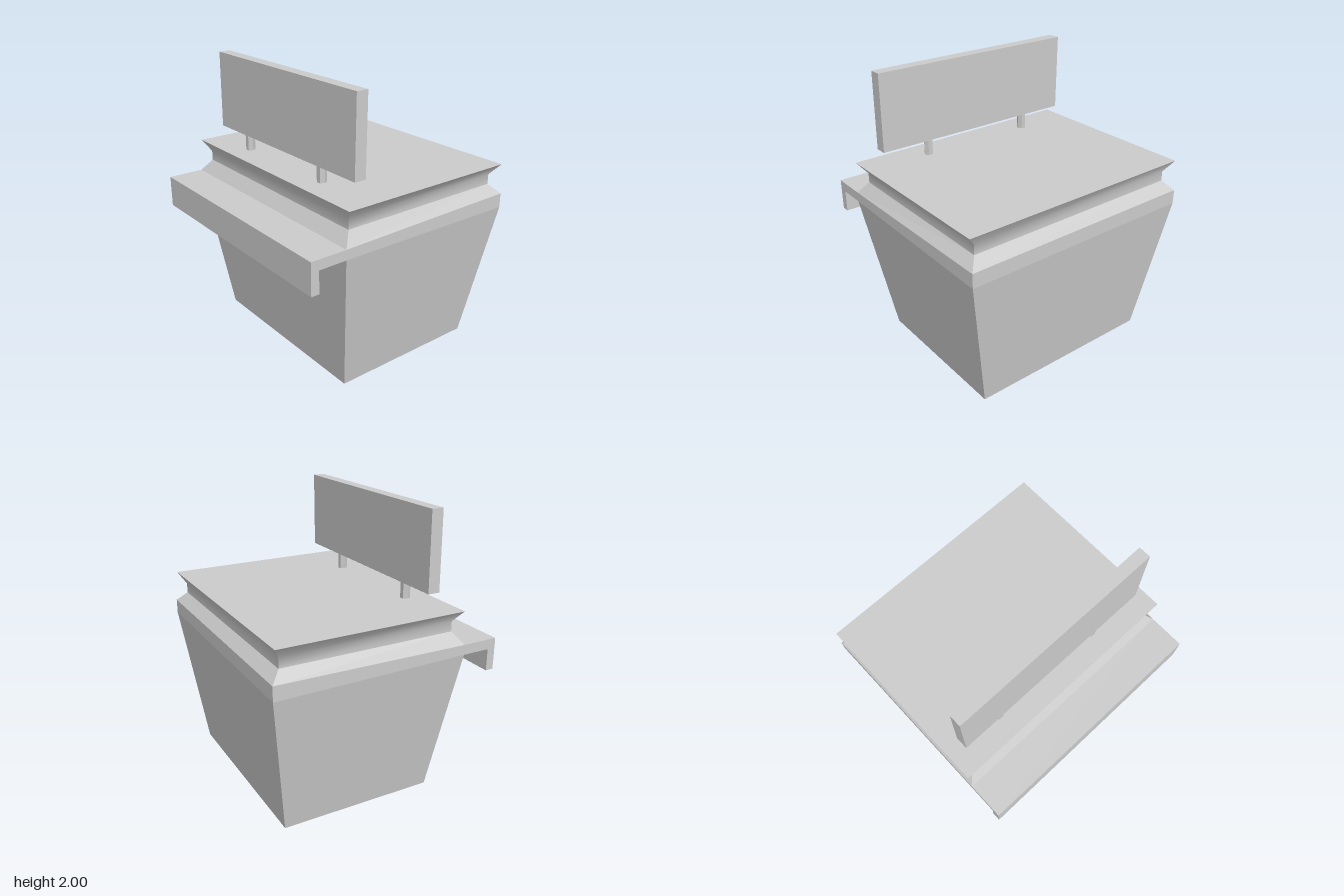
import * as THREE from 'three';

const flat = new THREE.MeshStandardMaterial({ color: 0xcccccc, flatShading: true });
const smooth = new THREE.MeshStandardMaterial({ color: 0xcccccc });

// Ring: half width, front z, back z, front y, back y
const corners = ([w, zf, zb, yf, yb = yf]) => [
  [w, yf, zf], [w, yb, zb], [-w, yb, zb], [-w, yf, zf],
];

// Four walls through rectangular rings; walls share no vertices, so corners stay sharp
function loft(rings, capBottom, capTop) {
  const pos = [], idx = [];
  const rows = rings.map(corners);
  for (let s = 0; s < 4; s++) {
    const base = pos.length / 3;
    rows.forEach((c) => pos.push(...c[s], ...c[(s + 1) % 4]));
    for (let i = 0; i < rows.length - 1; i++) {
      const a = base + i * 2;
      idx.push(a, a + 1, a + 3, a, a + 3, a + 2);
    }
  }
  const cap = (c, up) => {
    const b = pos.length / 3;
    c.forEach((p) => pos.push(...p));
    idx.push(...(up ? [b, b + 1, b + 2, b, b + 2, b + 3] : [b, b + 2, b + 1, b, b + 3, b + 2]));
  };
  if (capBottom) cap(rows[0], false);
  if (capTop) cap(rows[rows.length - 1], true);
  const g = new THREE.BufferGeometry();
  g.setAttribute('position', new THREE.Float32BufferAttribute(pos, 3));
  g.setIndex(idx);
  g.computeVertexNormals();
  return g;
}

export function createModel() {
  const model = new THREE.Group();
  model.name = 'planterShapedStall';
  const add = (name, geometry, material = flat) => {
    const mesh = new THREE.Mesh(geometry, material);
    mesh.name = name;
    model.add(mesh);
    return mesh;
  };

  // Tapered body with short upright rim and sloping shoulder
  const rim = [0.875, 0.56, -0.817, 1.105, 1.122];
  const neckFoot = [0.81, 0.492, -0.747, 1.19];
  add('body', loft([
    [0.702, 0.425, -0.68, 0],
    [0.875, 0.56, -0.817, 1.035, 1.02],
    rim,
    neckFoot,
  ], true, false));

  // Neck flaring softly out to the flat roof
  add('neck', loft([
    neckFoot,
    [0.81, 0.492, -0.747, 1.26],
    [0.875, 0.54, -0.797, 1.34],
  ], false, false), smooth);
  add('roof', loft([
    [0.875, 0.54, -0.797, 1.339],
    [0.875, 0.54, -0.797, 1.34],
  ], false, true));

  // Counter with hanging lip: profile in (z, y), extruded across x
  const profile = new THREE.Shape([
    [0.55, 1.105], [0.55, 1.035], [0.76, 1.035], [0.76, 0.88], [0.818, 0.88], [0.818, 1.105],
  ].map(([z, y]) => new THREE.Vector2(-z, y)));
  const counter = new THREE.ExtrudeGeometry(profile, { depth: 1.75, bevelEnabled: false });
  counter.translate(0, 0, -0.875).rotateY(Math.PI / 2);
  add('counter', counter);

  // Sign board, leaning very slightly back
  const board = new THREE.BoxGeometry(1.53, 0.545, 0.085);
  const p = board.attributes.position;
  for (let i = 0; i < p.count; i++) p.setZ(i, p.getZ(i) - 0.01 * p.getY(i));
  add('signBoard', board).position.set(0, 1.7275, 0.366);

  // Hexagonal posts under the sign
  [['leftPost', 0.39], ['rightPost', -0.454]].forEach(([name, x]) => {
    const post = new THREE.CylinderGeometry(0.033, 0.033, 0.14, 6).rotateY(Math.PI / 2);
    add(name, post).position.set(x, 1.4, 0.368);
  });

  return model;
}
